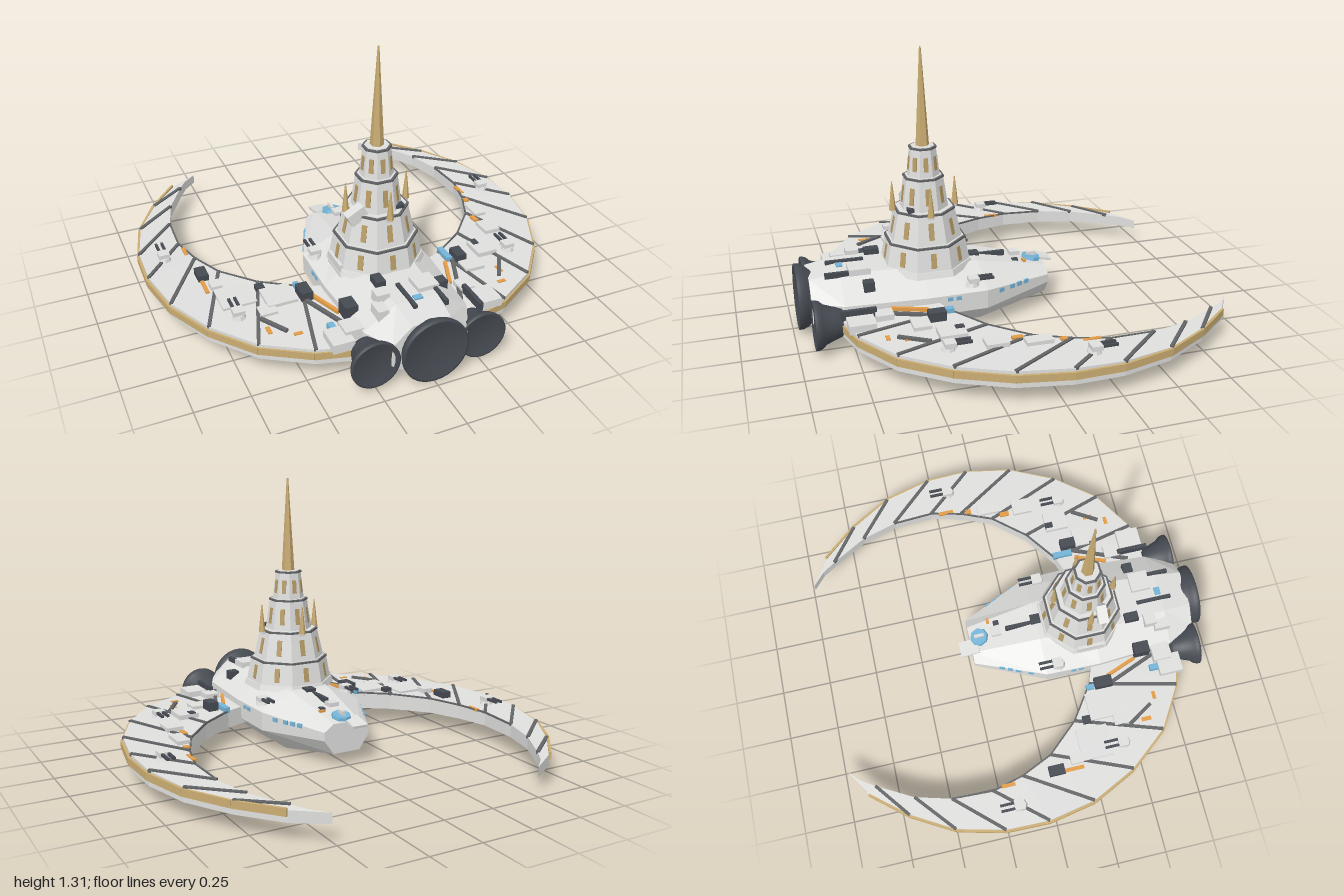
import * as THREE from 'three';

const mat = (name, color, extra = {}) => {
  const m = new THREE.MeshStandardMaterial({ color, flatShading: true, ...extra });
  m.name = name;
  return m;
};

// Closed solid skinned over equal-length rings of [x, y, z], always facing outward
function loft(rings) {
  const tris = [], n = rings[0].length;
  for (let r = 0; r < rings.length - 1; r++) {
    for (let i = 0; i < n; i++) {
      const j = (i + 1) % n, a = rings[r], b = rings[r + 1];
      tris.push([a[i], a[j], b[j]], [a[i], b[j], b[i]]);
    }
  }
  const first = rings[0], last = rings[rings.length - 1];
  for (let i = 1; i < n - 1; i++) {
    tris.push([first[0], first[i + 1], first[i]], [last[0], last[i], last[i + 1]]);
  }
  const v = (p) => new THREE.Vector3(...p);
  const volume = tris.reduce((s, [a, b, c]) => s + v(a).dot(v(b).cross(v(c))), 0);
  if (volume < 0) tris.forEach((t) => t.reverse());
  const g = new THREE.BufferGeometry();
  g.setAttribute('position', new THREE.Float32BufferAttribute(tris.flat(2), 3));
  g.computeVertexNormals();
  return g;
}

export function createModel() {
  const root = new THREE.Group();
  root.name = 'crescentShip';
  const light = mat('hullGrey', 0xdfdfde);
  const rib = mat('ribGrey', 0x626466);
  const dark = mat('darkGrey', 0x464b52);
  const engineMat = mat('engineGrey', 0x464b52, { flatShading: false, side: THREE.DoubleSide });
  const gold = mat('gold', 0xcbad73);
  const bronze = mat('windowBronze', 0xb79c66);
  const orange = mat('orange', 0xe39c45);
  const blue = mat('blue', 0x74b4d8);

  const add = (name, geo, m, x = 0, y = 0, z = 0, parent = root) => {
    const mesh = new THREE.Mesh(geo, m);
    mesh.name = name;
    mesh.position.set(x, y, z);
    parent.add(mesh);
    return mesh;
  };
  const box = (name, m, x, y, z, w, h, d, parent = root) =>
    add(name, new THREE.BoxGeometry(w, h, d), m, x, y, z, parent);
  // Beam between two points
  const bar = (name, m, a, b, w, h, parent = root) => {
    const p = new THREE.Vector3(...a), q = new THREE.Vector3(...b);
    const mesh = new THREE.Mesh(new THREE.BoxGeometry(w, h, p.distanceTo(q)), m);
    mesh.name = name;
    mesh.position.copy(p).add(q).multiplyScalar(0.5);
    mesh.lookAt(q);
    parent.add(mesh);
  };

  // Hull: octagonal sections along z
  const section = (z, yb, y1, y2, yt, wb, wm, wt) => [
    [wb, yb, z], [wm, y1, z], [wm, y2, z], [wt, yt, z],
    [-wt, yt, z], [-wm, y2, z], [-wm, y1, z], [-wb, yb, z]];
  add('hull', loft([
    section(-0.23, 0.06, 0.13, 0.17, 0.205, 0.07, 0.12, 0.07),
    section(0.12, 0, 0.11, 0.2, 0.28, 0.14, 0.27, 0.1),
    section(0.4, 0, 0.11, 0.2, 0.295, 0.15, 0.275, 0.13),
    section(0.78, 0, 0.1, 0.2, 0.3, 0.15, 0.25, 0.1),
    section(0.92, 0.05, 0.1, 0.2, 0.28, 0.11, 0.18, 0.09),
  ]), light);

  // Crescent wings: outer and inner edge stations [x, z] from the tip to the hull
  const outer = [[0.51, -0.98], [0.65, -0.89], [0.8, -0.71], [0.92, -0.5], [0.98, -0.26],
    [0.985, -0.04], [0.94, 0.2], [0.83, 0.43], [0.67, 0.63], [0.46, 0.76], [0.2, 0.83]];
  const inner = [[0.51, -0.98], [0.575, -0.92], [0.62, -0.85], [0.72, -0.67], [0.77, -0.49],
    [0.78, -0.28], [0.74, -0.12], [0.67, 0.04], [0.53, 0.2], [0.36, 0.32], [0.2, 0.38]];
  const outerTop = (i) => 0.128 + 0.03 * Math.min(1, i / 5);
  const innerTop = (i) => 0.128 + 0.045 * (i / 10);

  for (const s of [1, -1]) {
    const wing = new THREE.Group();
    wing.name = s > 0 ? 'leftWing' : 'rightWing';
    root.add(wing);
    add('wingBody', loft(outer.map(([ox, oz], i) => {
      const [ix, iz] = inner[i];
      return [[s * ox, 0.082, oz], [s * ox, outerTop(i), oz],
        [s * ix, innerTop(i), iz], [s * ix, 0.082, iz]];
    })), light, 0, 0, 0, wing);
    for (let i = 1; i < 10; i++) {
      const [ox, oz] = outer[i], [ix, iz] = inner[i];
      // Deck ribs, gold rim and inner edge rail
      if (i > 1) bar('rib', rib, [s * ox, outerTop(i), oz], [s * ix, innerTop(i), iz], 0.016, 0.014, wing);
      const [nx, nz] = outer[i + 1];
      bar('goldRim', gold, [s * (ox + 0.006), 0.127, oz], [s * (nx + 0.006), 0.127, nz], 0.012, 0.034, wing);
      const [jx, jz] = inner[i + 1];
      if (i > 3 && i < 9) {
        bar('innerRail', rib, [s * ix, innerTop(i), iz], [s * jx, innerTop(i + 1), jz], 0.008, 0.008, wing);
      }
    }
    // Raking spars on the wing root
    bar('rootSpar', rib, [s * 0.61, 0.166, 0.47], [s * 0.53, 0.166, 0.6], 0.018, 0.014, wing);
    bar('rootSpar', rib, [s * 0.39, 0.172, 0.4], [s * 0.27, 0.172, 0.7], 0.018, 0.014, wing);
    bar('orangeStripe', orange, [s * 0.34, 0.178, 0.42], [s * 0.28, 0.178, 0.58], 0.016, 0.016, wing);

    // Twin-barrel turrets
    for (const [x, y, z] of [[0.88, 0.152, -0.17], [0.69, 0.157, 0.41], [0.235, 0.22, 0.18]]) {
      const turret = new THREE.Group();
      turret.name = 'turret';
      turret.position.set(s * x, y, z);
      wing.add(turret);
      add('turretBase', new THREE.CylinderGeometry(0.026, 0.034, 0.022, 8), light, 0, 0.01, 0.008, turret);
      box('turretHead', light, 0, 0.03, 0, 0.052, 0.022, 0.05, turret);
      for (const bx of [-0.014, 0.014]) box('barrel', dark, bx, 0.034, -0.055, 0.012, 0.012, 0.08, turret);
    }

    // Blue hull windows following the flank
    for (const z of [-0.11, -0.07, -0.03, 0.03]) {
      const edge = (k) => [s * (0.12 + 0.15 * (k + 0.23) / 0.35 + 0.001), 0.178, k];
      bar('hullWindow', blue, edge(z), edge(z + 0.025), 0.008, 0.02);
    }
    for (const z of [0.26, 0.3]) box('hullWindow', blue, s * 0.274, 0.182, z, 0.008, 0.018, 0.025);
  }

  // Engine bells: flared shell with a shallow bowl, opening toward +z
  const engine = (name, x, y, z, r) => {
    const profile = [[0, -1.28], [0.42, -1.26], [0.55, -1.12], [0.68, -0.75], [0.8, -0.42], [0.94, -0.27],
      [1, -0.12], [1, 0], [0.94, 0], [0.75, -0.06], [0.4, -0.12], [0, -0.14]];
    const bell = add(name, new THREE.LatheGeometry(
      profile.map(([a, b]) => new THREE.Vector2(a * r, b * r)), 32), engineMat, x, y, z);
    bell.rotation.x = Math.PI / 2;
  };
  engine('mainEngine', 0, 0.162, 0.975, 0.155);
  engine('leftEngine', 0.255, 0.13, 0.925, 0.113);
  engine('rightEngine', -0.255, 0.13, 0.925, 0.113);

  // Tower: stacked octagonal tiers with trim rings and slot windows
  const tower = new THREE.Group();
  tower.name = 'tower';
  tower.position.z = 0.355;
  root.add(tower);
  const k = 1 / Math.cos(Math.PI / 8);
  const octagon = (name, m, rt, rb, y0, y1) => {
    add(name, new THREE.CylinderGeometry(rt * k, rb * k, y1 - y0, 8), m, 0, (y0 + y1) / 2, 0, tower)
      .rotation.y = Math.PI / 8;
  };
  octagon('towerFoot', light, 0.203, 0.212, 0.265, 0.294);
  for (const [y0, y1, rb, rt, ww, wh] of [
    [0.29, 0.405, 0.198, 0.178, 0.026, 0.07], [0.405, 0.55, 0.165, 0.134, 0.025, 0.08],
    [0.55, 0.705, 0.108, 0.087, 0.023, 0.08], [0.705, 0.845, 0.073, 0.058, 0.021, 0.066]]) {
    octagon('towerTier', light, rt, rb, y0, y1);
    octagon('tierTrim', rib, rt + 0.004, rt + 0.004, y1 - 0.007, y1 + 0.002);
    octagon('tierCap', light, rt - 0.006, rt - 0.006, y1, y1 + 0.005);
    for (let i = 0; i < 8; i++) {
      const a = i * Math.PI / 4, r = (rb + rt) / 2;
      const w = box('towerWindow', bronze, Math.sin(a) * r, (y0 + y1) / 2 - 0.005, Math.cos(a) * r, ww, wh, 0.009, tower);
      w.rotation.set(-Math.atan((rb - rt) / (y1 - y0)), a, 0, 'YXZ');
    }
  }
  add('spire', new THREE.CylinderGeometry(0.004, 0.032, 0.463, 6), gold, 0, 1.0785, 0, tower);
  for (let i = 0; i < 4; i++) {
    const a = i * Math.PI / 2, x = Math.sin(a) * 0.15, z = Math.cos(a) * 0.15;
    add('pinnacle', new THREE.CylinderGeometry(0.002, 0.017, 0.14, 6), gold, x, 0.615, z, tower);
    box('pinnacleBracket', light, x * 0.93, 0.54, z * 0.93, 0.03, 0.012, 0.03, tower);
  }
  box('towerPlate', light, -0.125, 0.552, 0.06, 0.09, 0.06, 0.05, tower).rotation.z = 0.5;
  box('towerBox', dark, 0.075, 0.56, 0.08, 0.045, 0.025, 0.03, tower);

  // Deck plates and equipment: [x, base y, z, width, height, depth]
  const fit = (name, m, list) => list.forEach(([x, y, z, w, h, d]) => box(name, m, x, y + h / 2, z, w, h, d));
  fit('deckPlate', light, [
    [-0.66, 0.15, 0.27, 0.16, 0.022, 0.16], [-0.48, 0.15, 0.35, 0.14, 0.03, 0.14],
    [-0.72, 0.15, 0.16, 0.05, 0.035, 0.06], [-0.56, 0.15, 0.43, 0.08, 0.025, 0.07],
    [-0.35, 0.15, 0.75, 0.1, 0.045, 0.12], [-0.28, 0.15, 0.72, 0.09, 0.06, 0.09],
    [0.38, 0.15, 0.73, 0.1, 0.04, 0.12], [0.7, 0.15, 0.21, 0.08, 0.03, 0.1],
    [0.73, 0.15, 0.03, 0.06, 0.025, 0.12], [0.57, 0.15, 0.37, 0.1, 0.035, 0.12],
    [0.45, 0.15, 0.48, 0.1, 0.03, 0.08], [0.33, 0.15, 0.62, 0.07, 0.04, 0.08],
    [-0.13, 0.27, 0.69, 0.06, 0.05, 0.06], [0.08, 0.29, 0.69, 0.1, 0.03, 0.1],
    [-0.16, 0.24, 0.75, 0.05, 0.05, 0.08], [0.0, 0.25, -0.09, 0.05, 0.02, 0.05],
    [-0.17, 0.25, 0.36, 0.08, 0.06, 0.14]]);
  fit('equipment', dark, [
    [-0.755, 0.15, 0.05, 0.05, 0.04, 0.08], [-0.54, 0.15, 0.26, 0.04, 0.035, 0.04],
    [-0.37, 0.15, 0.39, 0.055, 0.06, 0.09], [0.42, 0.15, 0.4, 0.05, 0.06, 0.08],
    [-0.25, 0.18, 0.62, 0.06, 0.07, 0.08], [-0.1, 0.29, 0.6, 0.045, 0.035, 0.07],
    [0.18, 0.23, 0.66, 0.05, 0.05, 0.05], [0.01, 0.265, 0.12, 0.05, 0.025, 0.05],
    [0, 0.25, 0.03, 0.02, 0.025, 0.14], [0.05, 0.225, -0.08, 0.024, 0.02, 0.03],
    [-0.03, 0.29, 0.74, 0.018, 0.02, 0.18], [0.11, 0.285, 0.76, 0.018, 0.025, 0.18],
    [0.31, 0.17, 0.73, 0.02, 0.04, 0.16], [0.55, 0.15, 0.33, 0.03, 0.04, 0.04]]);
  fit('orangeMark', orange, [
    [-0.77, 0.145, -0.2, 0.018, 0.012, 0.07], [-0.765, 0.15, 0.14, 0.018, 0.016, 0.1],
    [0.765, 0.145, -0.2, 0.018, 0.012, 0.08], [0.74, 0.15, -0.08, 0.025, 0.015, 0.03],
    [0.68, 0.15, 0.11, 0.025, 0.02, 0.05], [-0.6, 0.15, 0.56, 0.02, 0.014, 0.05],
    [-0.49, 0.15, 0.63, 0.04, 0.014, 0.018], [0.56, 0.15, 0.55, 0.02, 0.014, 0.05],
    [0.52, 0.15, 0.64, 0.04, 0.014, 0.018], [0.07, 0.235, -0.12, 0.03, 0.01, 0.014]]);
  fit('bluePanel', blue, [
    [-0.35, 0.16, 0.67, 0.03, 0.03, 0.05], [0.37, 0.16, 0.36, 0.03, 0.03, 0.1],
    [0.01, 0.295, 0.77, 0.04, 0.012, 0.03], [-0.38, 0.16, 0.32, 0.025, 0.03, 0.04]]);

  // Nose sensor and forward plate
  add('noseSensor', new THREE.CylinderGeometry(0.045, 0.05, 0.02, 8), blue, 0, 0.222, -0.18).rotation.x = -0.2;
  box('nosePlate', light, -0.04, 0.203, -0.24, 0.08, 0.012, 0.1).rotation.x = -0.22;
  box('sensorMast', light, 0, 0.235, -0.18, 0.014, 0.03, 0.05);
  return root;
}
